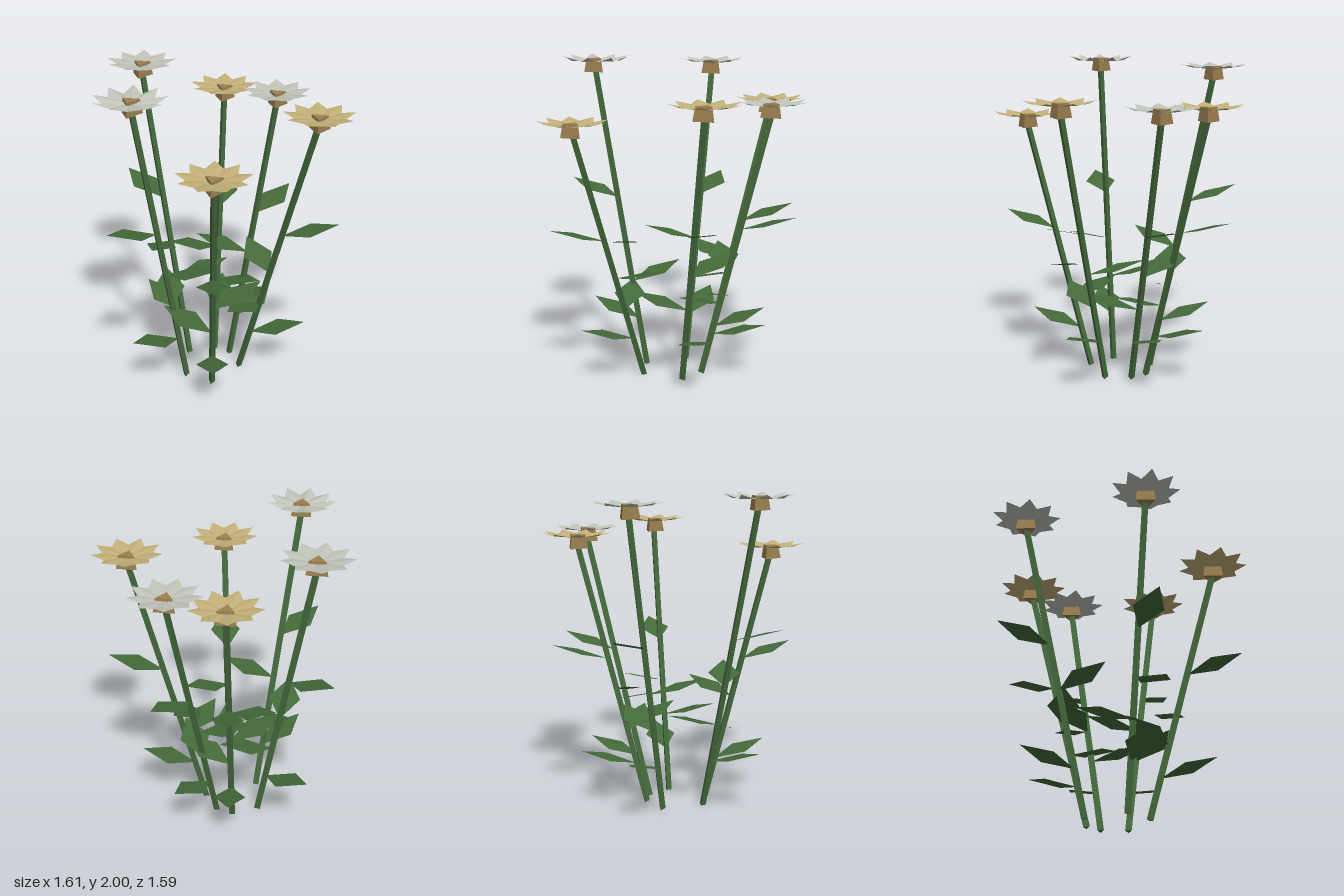
import * as THREE from 'three';

const mat = (name, color, extra = {}) => {
  const m = new THREE.MeshStandardMaterial({ color, flatShading: true, ...extra });
  m.name = name;
  return m;
};

// Fan of triangles around the first point
function fan(points, closed) {
  const index = [];
  const n = points.length - 1;
  for (let i = 1; i < n + (closed ? 1 : 0); i++) index.push(0, i, (i % n) + 1);
  const g = new THREE.BufferGeometry().setFromPoints(points);
  g.setIndex(index);
  g.computeVertexNormals();
  return g;
}

// Nine-pointed shallow bowl of petals; pleat lowers the notches
function petalGeometry(pleat) {
  const points = [new THREE.Vector3()];
  for (let i = 0; i < 18; i++) {
    const a = -i * Math.PI / 9;
    const tip = i % 2 === 0;
    const r = tip ? 0.22 : 0.155;
    points.push(new THREE.Vector3(r * Math.cos(a), tip ? 0.035 : 0.025 - pleat, r * Math.sin(a)));
  }
  return fan(points, true);
}

// Flat diamond leaf running along +x and rising
function leafGeometry() {
  return fan([
    new THREE.Vector3(0, 0, 0),
    new THREE.Vector3(0.175, 0.05, 0.1),
    new THREE.Vector3(0.35, 0.1, 0),
    new THREE.Vector3(0.175, 0.05, -0.1),
  ], false);
}

export function createModel() {
  const model = new THREE.Group();
  model.name = 'flowerCluster';

  const stemMat = mat('stemGreen', 0x446a3c);
  const leafMat = mat('leafGreen', 0x446a3a, { side: THREE.DoubleSide });
  const whiteMat = mat('petalWhite', 0xbfc3b8, { side: THREE.DoubleSide });
  const yellowMat = mat('petalYellow', 0xc2b077, { side: THREE.DoubleSide });
  const cupMat = mat('cupBrown', 0x9c8150);

  const leafGeo = leafGeometry();
  const cupGeo = new THREE.CylinderGeometry(0.058, 0.074, 0.085, 3, 1, false, Math.PI);
  const up = new THREE.Vector3(0, 1, 0);

  // base x, base z, top x, top z, cup bottom height, petal colour, pleat
  const plants = [
    [-0.03, -0.155, 0.005, -0.58, 1.868, whiteMat, 0.008],
    [0.12, -0.06, 0.475, -0.302, 1.66, yellowMat, 0.008],
    [0.145, 0.05, 0.582, 0.053, 1.672, whiteMat, 0.008],
    [0.07, 0.2, 0.333, 0.573, 1.704, yellowMat, 0.008],
    [-0.19, 0.195, -0.515, 0.5, 1.56, yellowMat, 0.008],
    [-0.24, 0.015, -0.602, -0.048, 1.902, whiteMat, 0.018],
  ];
  // leaf position along the stem, turn away from the outward direction
  const leaves = [[0.157, 0], [0.285, 120], [0.415, -120], [0.57, 0]];

  for (const [bx, bz, tx, tz, h, petalMat, pleat] of plants) {
    const plant = new THREE.Group();
    plant.name = 'flower';
    const base = new THREE.Vector3(bx, 0.006, bz);
    const top = new THREE.Vector3(tx, h + 0.03, tz);
    const dir = top.clone().sub(base);

    // Stem
    const stem = new THREE.Mesh(
      new THREE.CylinderGeometry(0.023, 0.023, dir.length(), 3, 1, false, Math.PI), stemMat);
    stem.name = 'stem';
    stem.position.copy(base).lerp(top, 0.5);
    stem.quaternion.setFromUnitVectors(up, dir.clone().normalize());
    plant.add(stem);

    // Leaves: two outward, two swept to the sides
    const outward = Math.atan2(dir.z, dir.x);
    for (const [t, turn] of leaves) {
      const leaf = new THREE.Mesh(leafGeo, leafMat);
      leaf.name = 'leaf';
      leaf.position.copy(base).lerp(top, t);
      leaf.rotation.y = -(outward + THREE.MathUtils.degToRad(turn));
      plant.add(leaf);
    }

    // Three-sided cup poking through the petals
    const cup = new THREE.Mesh(cupGeo, cupMat);
    cup.name = 'cup';
    cup.position.set(tx, h + 0.0425, tz);
    plant.add(cup);

    // Petals
    const petals = new THREE.Mesh(petalGeometry(pleat), petalMat);
    petals.name = 'petals';
    petals.position.set(tx, h + 0.064, tz);
    plant.add(petals);

    model.add(plant);
  }
  return model;
}
